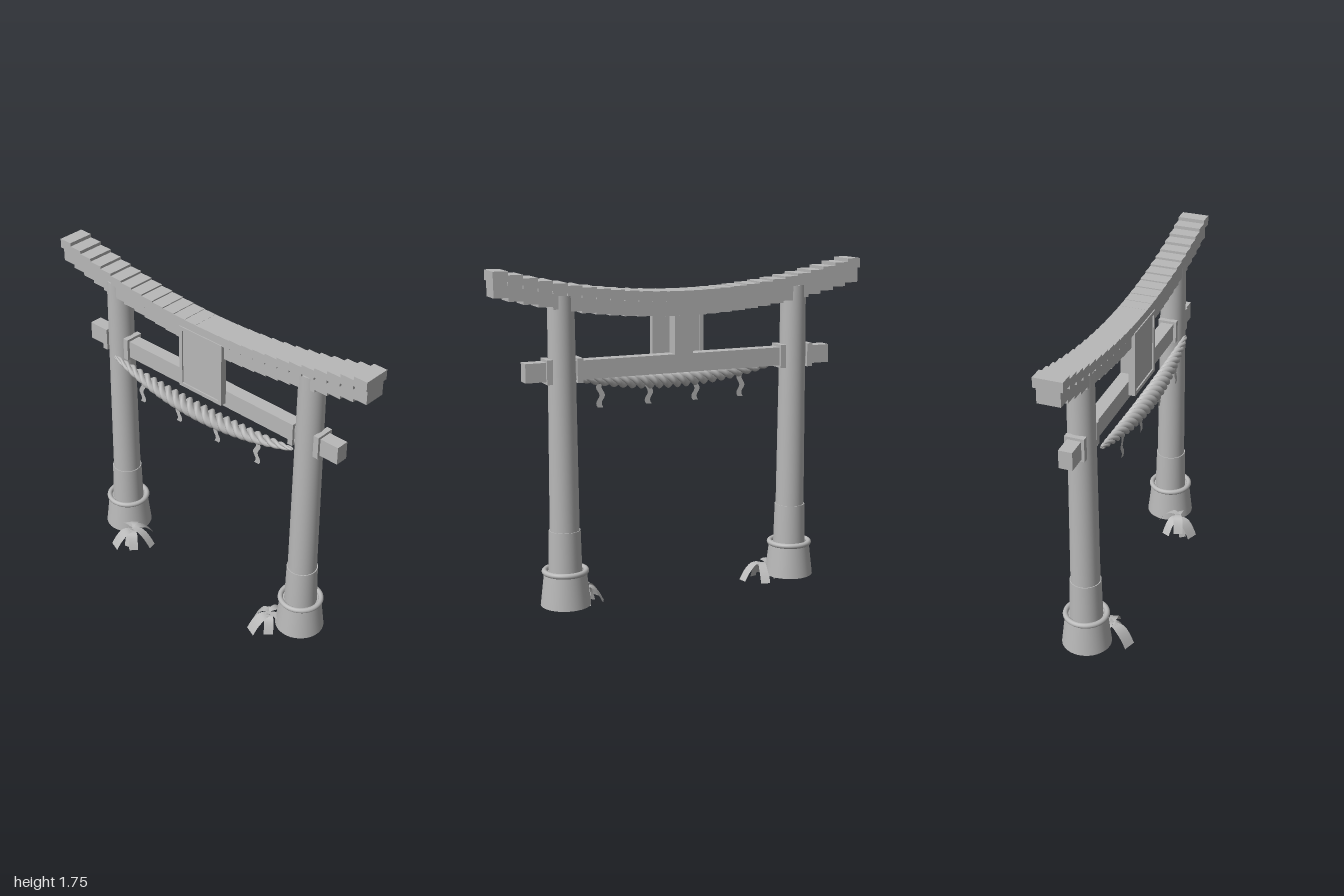
import * as THREE from 'three';
import { ParametricGeometry } from 'three/addons/geometries/ParametricGeometry.js';

const Z = -0.043; // depth of the gate's centre plane

export function createModel() {
  const group = new THREE.Group();
  const grey = new THREE.MeshStandardMaterial({ color: 0xb8b8b8, side: THREE.DoubleSide });
  grey.name = 'plain grey';

  const add = (name, geometry, x = 0, y = 0, z = 0, parent = group) => {
    const mesh = new THREE.Mesh(geometry, grey);
    mesh.name = name;
    mesh.position.set(x, y, z);
    parent.add(mesh);
    return mesh;
  };
  const box = (name, w, h, d, x, y, z, parent) =>
    add(name, new THREE.BoxGeometry(w, h, d), x, y, z, parent);
  const drum = (name, rTop, rBottom, y0, y1, x) =>
    add(name, new THREE.CylinderGeometry(rTop, rBottom, y1 - y0, 40), x, (y0 + y1) / 2, Z);

  // Pillars with footing, ring, sleeve and collars around the tie beam
  for (const s of [-1, 1]) {
    const x = 0.642 * s;
    drum('pillarBase', 0.108, 0.128, 0.05, 0.22, x);
    add('baseRing', new THREE.TorusGeometry(0.106, 0.014, 12, 48).rotateX(Math.PI / 2), x, 0.226, Z);
    drum('pillarSleeve', 0.08, 0.086, 0.2, 0.44, x);
    drum('pillar', 0.066, 0.077, 0.22, 1.62, x);
    box('outerCollar', 0.03, 0.122, 0.1, 0.72 * s, 1.25, Z);
    box('innerCollar', 0.03, 0.122, 0.1, 0.563 * s, 1.25, Z);
  }

  // Curved double lintel made of stepped blocks
  const lintel = (name, half, top, height, depth) => {
    const n = 27, w = (2 * half) / n, beam = new THREE.Group();
    beam.name = name;
    for (let i = 0; i < n; i++) {
      const x = -half + (i + 0.5) * w;
      box(name + 'Block', w, height, depth, x, top + 0.14 * x * x - height / 2, Z, beam);
    }
    group.add(beam);
  };
  lintel('upperLintel', 1, 1.62, 0.05, 0.145);
  lintel('lowerLintel', 0.995, 1.572, 0.078, 0.116);

  // Tie beam and centre strut
  box('tieBeam', 1.68, 0.095, 0.07, 0, 1.25, Z);
  box('centreStrut', 0.1, 0.24, 0.07, 0, 1.4, Z);

  // Framed plaque
  box('plaquePanel', 0.25, 0.31, 0.025, -0.002, 1.405, 0.015);
  for (const s of [-1, 1]) {
    box('plaqueSideFrame', 0.02, 0.345, 0.035, -0.002 + 0.132 * s, 1.405, 0.0175);
    box('plaqueEndFrame', 0.284, 0.02, 0.035, -0.002, 1.405 + 0.1625 * s, 0.0175);
  }

  // Twisted rope: three strands winding round a sagging core, thin at both ends
  const half = 0.61;
  const ropeY = (s) => 1.15 + 0.055 * s * s;
  for (let k = 0; k < 3; k++) {
    const strand = new ParametricGeometry((u, v, p) => {
      const s = 2 * u - 1;
      const R = 0.008 + 0.04 * Math.pow(Math.max(0, Math.cos(s * Math.PI / 2)), 0.7);
      const turn = u * 8 * Math.PI * 2 + k * Math.PI * 2 / 3;
      const a = v * Math.PI * 2;
      p.set(half * s,
        ropeY(s) + R * 0.5 * (Math.cos(turn) + Math.cos(a)),
        0.058 - 0.016 * s * s + R * 0.5 * (Math.sin(turn) - Math.sin(a)));
    }, 240, 12);
    add('ropeStrand', strand);
  }

  // Wavy paper streamers hanging from the rope
  for (const x of [-0.39, -0.128, 0.136, 0.402]) {
    const streamer = new THREE.PlaneGeometry(0.03, 0.12, 1, 12);
    const pos = streamer.attributes.position;
    for (let i = 0; i < pos.count; i++) {
      pos.setX(i, pos.getX(i) + 0.009 * Math.sin((pos.getY(i) + 0.06) * 75));
    }
    add('paperStreamer', streamer, x, 1.088, 0.06);
  }

  // Drooping leaf tufts beside the footings: [direction in degrees, length, width]
  const leaf = ([angle, length, width]) => {
    const g = new THREE.PlaneGeometry(1, 1, 8, 2);
    const pos = g.attributes.position;
    for (let i = 0; i < pos.count; i++) {
      const t = pos.getX(i) + 0.5, v = pos.getY(i);
      const w = width * (0.45 + 0.55 * Math.sin(Math.PI * Math.min(t * 0.8, 0.5)));
      pos.setXYZ(i, length * t, 0.055 * t - 0.135 * t * t, -v * w);
    }
    g.rotateY(-angle * Math.PI / 180);
    g.computeVertexNormals();
    return g;
  };
  const tuft = (x, z, leaves) => {
    const t = new THREE.Group();
    t.name = 'leafTuft';
    leaves.forEach((l, i) => add('leaf', leaf(l), 0, (i % 3) * 0.014, 0, t));
    t.position.set(x, 0.081, z);
    group.add(t);
  };
  tuft(-0.52, 0.05, [[110, 0.115, 0.07], [-13, 0.13, 0.05], [190, 0.13, 0.05],
    [42, 0.085, 0.05], [-75, 0.13, 0.05], [245, 0.11, 0.05], [75, 0.06, 0.04]]);
  tuft(0.51, 0.05, [[112, 0.11, 0.07], [-8, 0.15, 0.05], [160, 0.085, 0.05],
    [50, 0.07, 0.05], [205, 0.1, 0.05], [285, 0.12, 0.05], [140, 0.08, 0.04]]);

  return group;
}
